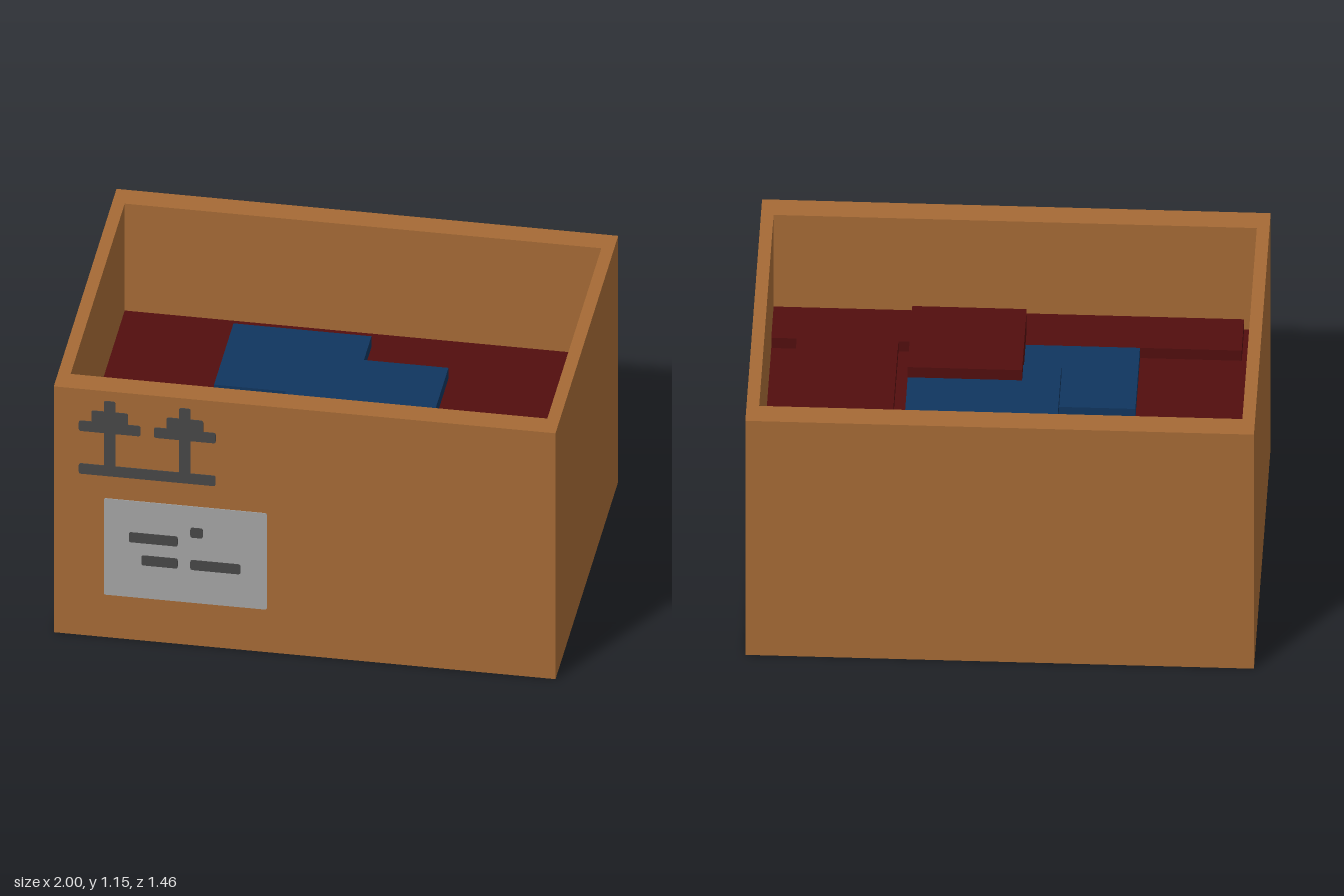
import * as THREE from 'three';

const material = (name, color) => {
  const m = new THREE.MeshStandardMaterial({ color });
  m.name = name;
  return m;
};

export function createModel() {
  const group = new THREE.Group();
  const cardboard = material('cardboard brown', 0xa56a35);
  const red = material('dark red', 0x520e0e);
  const blue = material('navy blue', 0x10355f);
  const paper = material('label grey', 0xa4a4a4);
  const ink = material('ink grey', 0x464646);

  const add = (name, geometry, mat, parent = group) => {
    const mesh = new THREE.Mesh(geometry, mat);
    mesh.name = name;
    parent.add(mesh);
    return mesh;
  };

  // Box given by its limits on each axis
  const block = (name, mat, [x0, x1], [y0, y1], [z0, z1]) =>
    add(name, new THREE.BoxGeometry(x1 - x0, y1 - y0, z1 - z0), mat)
      .position.set((x0 + x1) / 2, (y0 + y1) / 2, (z0 + z1) / 2);

  const rectangle = (target, w, d) => {
    target.moveTo(-w, -d).lineTo(w, -d).lineTo(w, d).lineTo(-w, d).closePath();
    return target;
  };

  // Open carton: four walls around a floor panel
  const walls = rectangle(new THREE.Shape(), 1, 0.725);
  walls.holes.push(rectangle(new THREE.Path(), 0.95, 0.625));
  const wallGeometry = new THREE.ExtrudeGeometry(walls, { depth: 1.15, bevelEnabled: false });
  wallGeometry.rotateX(-Math.PI / 2);
  add('cartonWalls', wallGeometry, cardboard);
  block('cartonFloor', cardboard, [-0.95, 0.95], [0, 0.1], [-0.625, 0.625]);

  // Folded contents, stacked in layers
  block('contentsFill', red, [-0.95, 0.95], [0.1, 0.65], [-0.625, 0.625]);
  block('frontFold', red, [-0.9, 0.95], [0.65, 0.7], [0.42, 0.625]);
  block('sideFold', red, [0.45, 0.85], [0.65, 0.7], [-0.03, 0.42]);
  block('backBlueFold', blue, [-0.5, 0.05], [0.65, 0.7], [-0.53, -0.08]);
  block('frontBlueFold', blue, [-0.5, 0.05], [0.65, 0.7], [0.02, 0.42]);
  block('middleBlueFold', blue, [-0.2, 0.4], [0.7, 0.75], [-0.28, 0.22]);
  block('topRedFold', red, [-0.05, 0.4], [0.7, 0.8], [0.12, 0.52]);

  // Thin rounded plate on the front face
  const plate = (name, mat, x0, x1, y0, y1, z, parent, r = 0.01) => {
    const s = new THREE.Shape();
    s.moveTo(x0 + r, y0).lineTo(x1 - r, y0).quadraticCurveTo(x1, y0, x1, y0 + r);
    s.lineTo(x1, y1 - r).quadraticCurveTo(x1, y1, x1 - r, y1);
    s.lineTo(x0 + r, y1).quadraticCurveTo(x0, y1, x0, y1 - r);
    s.lineTo(x0, y0 + r).quadraticCurveTo(x0, y0, x0 + r, y0);
    const g = new THREE.ExtrudeGeometry(s, { depth: 0.003, bevelEnabled: false, curveSegments: 4 });
    add(name, g, mat, parent).position.z = z;
  };

  // Shipping label with printed dashes
  const label = new THREE.Group();
  label.name = 'shippingLabel';
  group.add(label);
  plate('labelPaper', paper, -0.8, -0.15, 0.2, 0.65, 0.725, label);
  for (const [x0, x1, y0] of [
    [-0.7, -0.505, 0.458], [-0.455, -0.405, 0.506],
    [-0.65, -0.505, 0.355], [-0.455, -0.255, 0.355],
  ]) plate('labelDash', ink, x0, x1, y0, y0 + 0.046, 0.728, label);

  // Stencilled pair of up arrows over a ground line
  const arrows = new THREE.Group();
  arrows.name = 'upArrows';
  group.add(arrows);
  plate('arrowBase', ink, -0.9, -0.355, 0.755, 0.803, 0.725, arrows);
  for (const x of [-0.777, -0.477]) {
    plate('arrowStem', ink, x - 0.023, x + 0.023, 0.79, 1.105, 0.725, arrows);
    plate('arrowHeadLow', ink, x - 0.123, x + 0.123, 0.955, 1.003, 0.725, arrows);
    plate('arrowHeadHigh', ink, x - 0.073, x + 0.073, 0.985, 1.055, 0.725, arrows);
  }

  return group;
}
